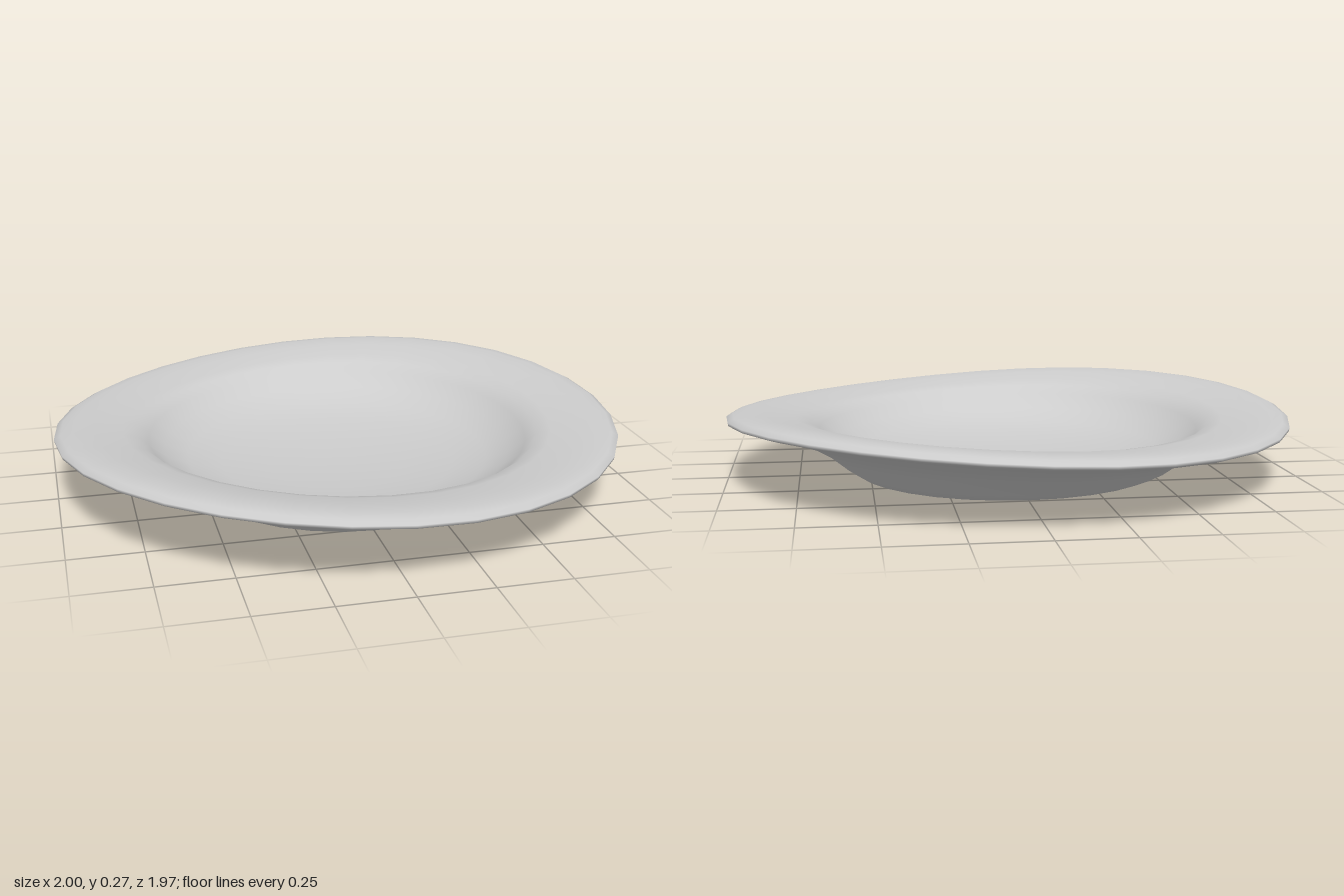
import * as THREE from 'three';
import { mergeVertices } from 'three/addons/utils/BufferGeometryUtils.js';

export function createModel() {
  const model = new THREE.Group();
  model.name = 'plate';
  const glaze = new THREE.MeshStandardMaterial({ color: 0xcccccc });
  glaze.name = 'grey glaze';

  // Cross-section: underside from the centre outward, over the rim, into the bowl
  const profile = [
    [0, 0.008], [0.3, 0.008], [0.5, 0.008], [0.545, 0.018], [0.59, 0.042],
    [0.66, 0.098], [0.74, 0.14], [0.85, 0.176], [0.96, 0.204], [0.99, 0.214],
    [0.992, 0.225], [0.97, 0.237], [0.93, 0.243], [0.86, 0.238], [0.76, 0.222],
    [0.71, 0.208], [0.675, 0.178], [0.62, 0.132], [0.54, 0.094], [0.42, 0.066],
    [0.25, 0.049], [0.1, 0.043], [0, 0.042],
  ].map(([r, y]) => new THREE.Vector2(r, y));

  let body = new THREE.LatheGeometry(profile, 32);
  body.deleteAttribute('uv');
  body.deleteAttribute('normal');
  body = mergeVertices(body, 1e-4);

  // Hand-thrown warp: the rim rises on one diagonal and sinks on the other
  const pos = body.attributes.position;
  for (let i = 0; i < pos.count; i++) {
    const x = pos.getX(i), y = pos.getY(i), z = pos.getZ(i);
    const r = Math.hypot(x, z), a = Math.atan2(z, x);
    const rim = THREE.MathUtils.smoothstep(r, 0.5, 0.95);
    const lift = -0.026 * Math.sin(2 * a) + 0.004 * Math.sin(a);
    const wobble = 1 + 0.008 * Math.cos(2 * a) * rim;
    const foot = y < 0.03 ? -0.007 * x / 0.55 * 0.5 : 0;
    pos.setXYZ(i, x * wobble, y + lift * rim + foot - 0.004, z * wobble);
  }
  body.computeVertexNormals();

  const plate = new THREE.Mesh(body, glaze);
  plate.name = 'plateBody';
  model.add(plate);
  return model;
}
